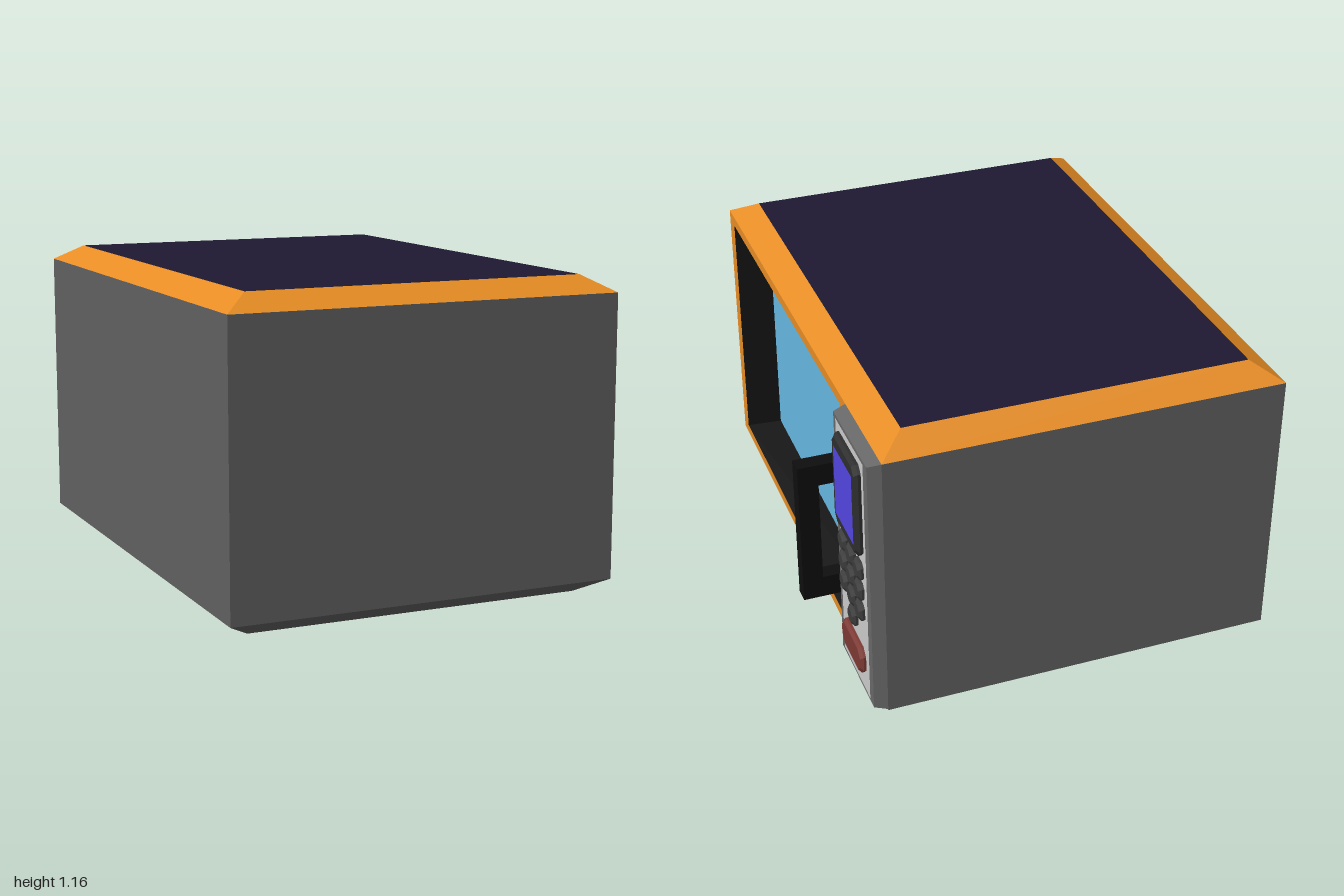
import * as THREE from 'three';

const mat = (color) => new THREE.MeshStandardMaterial({ color, flatShading: true });
const ORANGE = mat(0xe68c24), GREY = mat(0x606060), NAVY = mat(0x1e1932), BLACK = mat(0x0e0e0e);
const GLASS = mat(0x66b8e0), PANEL = mat(0x686868), FACE = mat(0xc8c8c8), DARK = mat(0x2e2e2e);
const SCREEN = mat(0x5345e0), KEY = mat(0x3c3c3c), RED = mat(0x7d3a34);

// Counter-clockwise rectangle outline, with corners cut by c
function outline(u0, u1, v0, v1, c = 0) {
  if (!c) return [[u0, v0], [u1, v0], [u1, v1], [u0, v1]];
  return [[u0 + c, v0], [u1 - c, v0], [u1, v0 + c], [u1, v1 - c],
    [u1 - c, v1], [u0 + c, v1], [u0, v1 - c], [u0, v0 + c]];
}
// Outline placed at a height (u = x, v = -z), or on the right side (u = -z, v = y)
const level = (y, pts) => pts.map(([u, v]) => [u, y, -v]);
const upright = (x, pts) => pts.map(([u, v]) => [x, v, -u]);

// Joins outlines with flat quads; cap closes the last one, skip leaves one side open
function loft(rings, cap = true, skip = -1) {
  const pos = [];
  const n = rings[0].length;
  for (let r = 0; r + 1 < rings.length; r++) {
    for (let i = 0; i < n; i++) {
      if (i === skip) continue;
      const j = (i + 1) % n;
      const [a, b, B, A] = [rings[r][i], rings[r][j], rings[r + 1][j], rings[r + 1][i]];
      pos.push(...a, ...b, ...B, ...a, ...B, ...A);
    }
  }
  const last = rings[rings.length - 1];
  if (cap) for (let i = 1; i + 1 < n; i++) pos.push(...last[0], ...last[i], ...last[i + 1]);
  const g = new THREE.BufferGeometry();
  g.setAttribute('position', new THREE.Float32BufferAttribute(pos, 3));
  g.computeVertexNormals();
  return g;
}

export function createModel() {
  const root = new THREE.Group();
  root.name = 'microwave';
  const add = (name, geometry, material, parent = root) => {
    const m = new THREE.Mesh(geometry, material);
    m.name = name;
    parent.add(m);
    return m;
  };
  // Raised block with sloped edges on the right side
  const raised = (name, material, x0, x1, [u0, u1, v0, v1], c, inset, parent) => add(name, loft([
    upright(x0, outline(u0, u1, v0, v1, c)),
    upright(x0 + (x1 - x0) * 0.5, outline(u0, u1, v0, v1, c)),
    upright(x1, outline(u0 + inset, u1 - inset, v0 + inset, v1 - inset, c)),
  ]), material, parent);
  // Flat rectangle facing the right side
  const plate = (name, material, x, [u0, u1, v0, v1], parent) => {
    const m = add(name, new THREE.PlaneGeometry(u1 - u0, v1 - v0), material, parent);
    m.rotation.y = Math.PI / 2;
    m.position.set(x, (v0 + v1) / 2, -(u0 + u1) / 2);
    return m;
  };

  // Cabinet: walls, tapered base and tapered top
  const full = outline(-0.83, 0.65, -1, 1);
  const inner = outline(-0.73, 0.55, -0.9, 0.9);
  add('cabinetWalls', loft([level(0.06, full), level(1.105, full)], false, 1), GREY);
  add('baseSlope', loft([level(0, inner), level(0.06, full)], false), GREY);
  add('baseBottom', loft([level(0, [...inner].reverse())]), GREY);
  add('topTrim', loft([level(1.105, full), level(1.165, inner)], false), ORANGE);
  add('topPanel', loft([level(1.165, inner)]), NAVY);

  // Door frame with a sloped recess down to the window
  const opening = [-0.935, 0.53, 0.1, 1.065];
  const windowRect = [-0.815, 0.415, 0.17, 1.0];
  const toVectors = (pts) => pts.map(([u, v]) => new THREE.Vector2(u, v));
  const frame = new THREE.Shape(toVectors(outline(-1, 1, 0.06, 1.105)));
  frame.holes.push(new THREE.Path(toVectors(outline(...opening))));
  const frameMesh = add('doorFrame', new THREE.ShapeGeometry(frame), ORANGE);
  frameMesh.rotation.y = Math.PI / 2;
  frameMesh.position.x = 0.65;
  add('windowRecess', loft([
    upright(0.65, outline(...opening)), upright(0.535, outline(...windowRect)),
  ], false), BLACK);
  plate('windowGlass', GLASS, 0.535, windowRect);

  // Handle: two arms and a grip
  const handle = new THREE.Group();
  handle.name = 'handle';
  root.add(handle);
  const bar = (name, x0, x1, y0, y1) => add(name, new THREE.BoxGeometry(x1 - x0, y1 - y0, 0.06), BLACK, handle)
    .position.set((x0 + x1) / 2, (y0 + y1) / 2, -0.56);
  bar('upperArm', 0.645, 0.755, 0.785, 0.87);
  bar('lowerArm', 0.645, 0.755, 0.3, 0.385);
  bar('grip', 0.755, 0.83, 0.3, 0.87);

  // Control panel
  const controls = new THREE.Group();
  controls.name = 'controlPanel';
  root.add(controls);
  add('panelHousing', loft([
    upright(0.65, outline(0.6, 1, 0.065, 1.105)),
    upright(0.698, outline(0.615, 0.985, 0.075, 1.095)),
  ]), PANEL, controls);
  plate('panelFace', FACE, 0.7, [0.645, 0.95, 0.09, 1.085], controls);
  raised('displayBezel', DARK, 0.698, 0.723, [0.66, 0.927, 0.685, 1.057], 0.025, 0.012, controls);
  plate('displayScreen', SCREEN, 0.725, [0.69, 0.895, 0.73, 1.01], controls);

  // Keypad: three rows of three and one key below
  const keys = [[0.797, 0.355]];
  for (const y of [0.62, 0.532, 0.443]) for (const u of [0.709, 0.797, 0.885]) keys.push([u, y]);
  for (const [u, y] of keys) {
    raised('key', KEY, 0.698, 0.72, [u - 0.037, u + 0.037, y - 0.037, y + 0.037], 0.016, 0.011, controls);
  }
  raised('startButton', RED, 0.698, 0.72, [0.68, 0.915, 0.16, 0.275], 0.028, 0.01, controls);

  return root;
}
